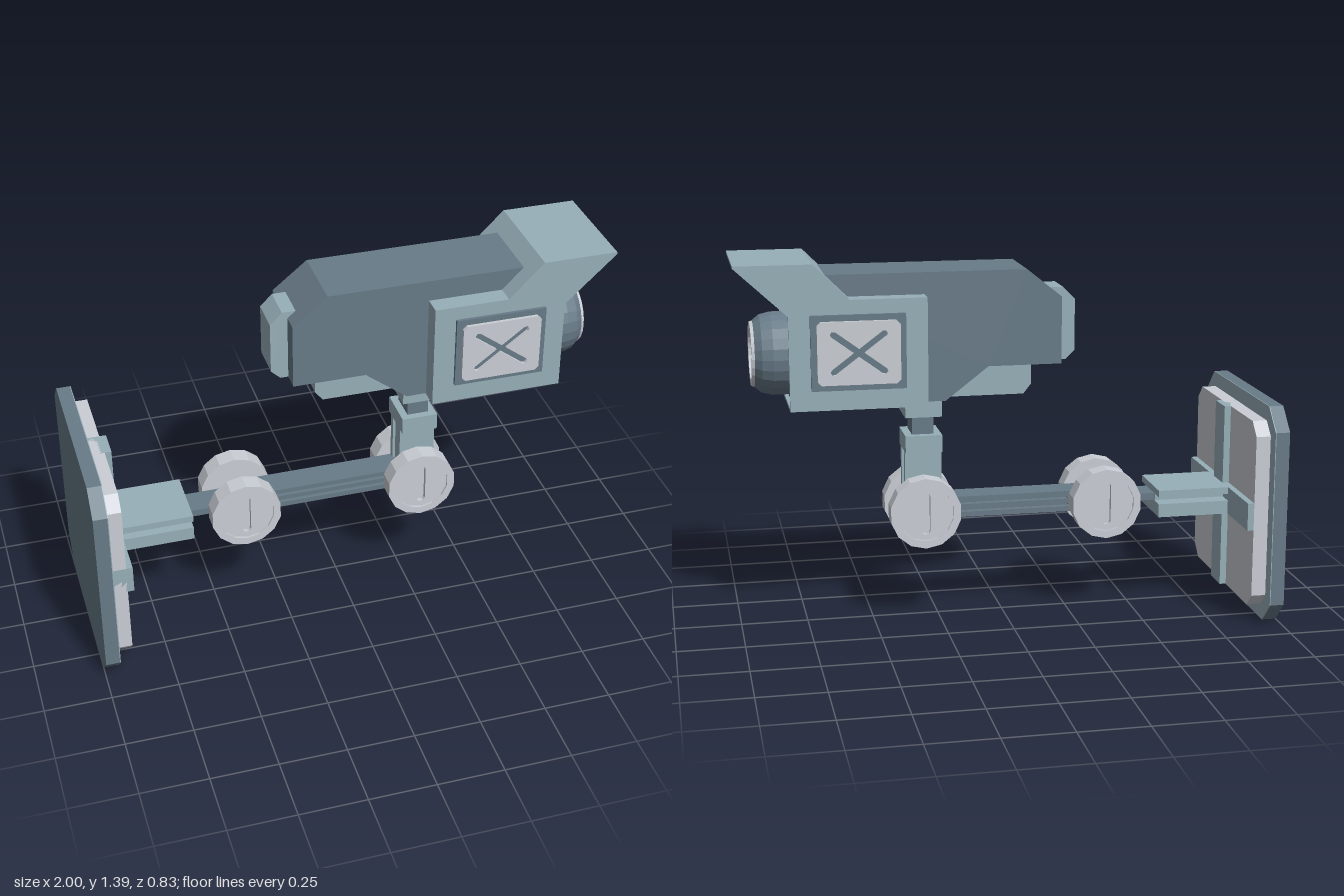
import * as THREE from 'three';

const mat = (color) => new THREE.MeshStandardMaterial({ color, flatShading: true });

export function createModel() {
  const root = new THREE.Group();
  const teal = mat(0x97afb8), slate = mat(0x687b88), grey = mat(0xcaced5);

  const add = (name, geo, m, parent = root) => {
    const mesh = new THREE.Mesh(geo, m);
    mesh.name = name;
    parent.add(mesh);
    return mesh;
  };
  // Box from its min and max limits, symmetric in z
  const box = (name, m, x0, x1, y0, y1, hz, z = 0) => {
    const b = add(name, new THREE.BoxGeometry(x1 - x0, y1 - y0, hz * 2), m);
    b.position.set((x0 + x1) / 2, (y0 + y1) / 2, z);
    return b;
  };
  const poly = (pts) => new THREE.Shape(pts.map(([x, y]) => new THREE.Vector2(x, y)));
  const extrude = (shape, z0, z1) =>
    new THREE.ExtrudeGeometry(shape, { depth: z1 - z0, bevelEnabled: false, curveSegments: 4 }).translate(0, 0, z0);
  const ring = (r, n) => Array.from({ length: n }, (_, i) => {
    const a = ((i + 0.5) / n) * Math.PI * 2;
    return [Math.cos(a) * r, Math.sin(a) * r];
  });
  const chamfered = (w, h, c) => poly([
    [-w + c, -h], [w - c, -h], [w, -h + c], [w, h - c],
    [w - c, h], [-w + c, h], [-w, h - c], [-w, -h + c]]);

  // Wall mount: chamfered plates stacked along x
  const plate = (name, m, x0, x1, w, h, c) => {
    const p = add(name, extrude(chamfered(w, h, c), x0, x1).rotateY(Math.PI / 2), m);
    p.position.y = 0.416;
    return p;
  };
  plate('wallPlate', slate, -1, -0.948, 0.413, 0.416, 0.083);
  plate('wallPlateFace', teal, -0.948, -0.945, 0.413, 0.416, 0.083);
  plate('wallPanel', grey, -0.945, -0.89, 0.36, 0.358, 0.05);
  box('verticalRib', teal, -0.945, -0.865, 0.058, 0.774, 0.055);
  box('horizontalRib', teal, -0.945, -0.866, 0.365, 0.47, 0.36);

  // Slotted bracket holding the arm
  box('bracketLower', teal, -0.87, -0.59, 0.365, 0.417, 0.122);
  box('bracketUpper', teal, -0.87, -0.59, 0.444, 0.47, 0.122);
  box('bracketSpine', teal, -0.87, -0.592, 0.41, 0.45, 0.06);

  // Grooved arm
  box('armTongue', slate, -0.6, -0.25, 0.417, 0.444, 0.055);
  box('armCore', slate, -0.385, 0.31, 0.395, 0.465, 0.03);
  for (const [y0, y1] of [[0.39, 0.41], [0.422, 0.44], [0.452, 0.47]])
    box('armRail', slate, -0.385, 0.31, y0, y1, 0.054);

  // Pivot knobs: rim, recessed cap with a slot, floor behind the slot
  const rim = poly(ring(0.135, 14));
  rim.holes.push(poly(ring(0.106, 14)));
  const cap = poly(ring(0.106, 14));
  const slot = new THREE.Path();
  slot.absarc(0, 0.065, 0.017, 0, Math.PI);
  slot.absarc(0, -0.065, 0.017, Math.PI, Math.PI * 2);
  slot.closePath();
  cap.holes.push(slot);
  for (const x of [-0.385, 0.31]) {
    for (const side of [0, 1]) {
      const knob = new THREE.Group();
      knob.name = 'pivotKnob';
      knob.position.set(x, 0.43, 0);
      knob.rotation.y = side * Math.PI;
      add('knobRim', extrude(rim, 0.055, 0.125), grey, knob);
      add('knobCap', extrude(cap, 0.1, 0.117), grey, knob);
      add('knobBack', extrude(poly(ring(0.107, 14)), 0.055, 0.1), grey, knob);
      root.add(knob);
    }
  }

  // Upright post and neck under the camera
  box('uprightCore', teal, 0.25, 0.365, 0.4, 0.66, 0.03);
  for (const z of [-0.0425, 0.0425]) box('uprightRail', teal, 0.24, 0.378, 0.47, 0.66, 0.0125, z);
  box('lowerCollar', teal, 0.24, 0.378, 0.655, 0.72, 0.083);
  box('neck', slate, 0.268, 0.35, 0.71, 0.8, 0.055);
  box('upperCollar', teal, 0.24, 0.378, 0.79, 0.862, 0.083);

  // Camera body, tail and belly
  add('cameraBody', extrude(poly([
    [-0.2, 0.985], [0.075, 0.985], [0.235, 0.862], [0.6, 0.862], [0.6, 1.25],
    [0.67, 1.34], [-0.07, 1.34], [-0.2, 1.235]]), -0.137, 0.137), slate);
  add('tailBlock', extrude(poly([
    [-0.265, 1.02], [-0.23, 0.987], [-0.1, 0.987], [-0.1, 1.26],
    [-0.22, 1.26], [-0.265, 1.215]]), -0.07, 0.07), teal);
  add('bellyBlock', extrude(poly([
    [-0.1, 0.9], [-0.07, 0.862], [0.32, 0.862], [0.32, 0.99], [-0.1, 0.99]]), -0.07, 0.07), teal);

  // Front shroud: two cheeks, a thin skin along the roof, floor and back, and the inner core
  const cheek = poly([
    [0.31, 0.86], [0.81, 0.86], [0.81, 1.205], [1, 1.382], [1, 1.39],
    [0.72, 1.39], [0.59, 1.26], [0.31, 1.26]]);
  for (const z of [-0.21, 0.198]) add('shroudCheek', extrude(cheek, z, z + 0.012), teal);
  add('shroudSkin', extrude(poly([
    [0.31, 0.86], [0.81, 0.86], [0.81, 0.87], [0.322, 0.87], [0.322, 1.25], [0.595, 1.25],
    [0.725, 1.38], [1, 1.38], [1, 1.39], [0.72, 1.39], [0.59, 1.26], [0.31, 1.26]]), -0.2, 0.2), teal);
  add('shroudCore', extrude(poly([
    [0.32, 0.868], [0.795, 0.868], [0.795, 1.205], [0.89, 1.33], [0.985, 1.381],
    [0.725, 1.381], [0.595, 1.252], [0.32, 1.252]]), -0.199, 0.199), slate);

  // Side panels: frame and rounded plate with a cross cut through it
  const cross = [];
  const tilt = 0.64, w = 0.012;
  const angles = [tilt, Math.PI - tilt, Math.PI + tilt, Math.PI * 2 - tilt];
  angles.forEach((a, i) => {
    const next = i < 3 ? angles[i + 1] : angles[0] + Math.PI * 2;
    const c = Math.cos(a), s = Math.sin(a);
    for (const [l, k] of [[0.115, -w], [0.125, -w / 2], [0.125, w / 2], [0.115, w]])
      cross.push([c * l - s * k, s * l + c * k]);
    const mid = (a + next) / 2, d = w / Math.sin((next - a) / 2);
    cross.push([Math.cos(mid) * d, Math.sin(mid) * d]);
  });
  const face = chamfered(0.15, 0.115, 0.014);
  face.holes.push(poly(cross));
  for (const side of [0, 1]) {
    const panel = new THREE.Group();
    panel.name = 'sidePanel';
    panel.position.set(0.562, 1.071, 0);
    panel.rotation.y = side * Math.PI;
    add('panelFrame', extrude(chamfered(0.172, 0.137, 0.001), 0.2, 0.222), slate, panel);
    add('panelFace', extrude(face, 0.222, 0.235), grey, panel);
    root.add(panel);
  }

  // Lens: tapered barrel, pale rim and recessed glass, turned to face +x
  const lens = new THREE.Group();
  lens.name = 'lens';
  lens.position.set(0, 1.038, 0);
  lens.rotation.z = -Math.PI / 2;
  root.add(lens);
  const lathe = (pts) => new THREE.LatheGeometry(pts.map(([r, y]) => new THREE.Vector2(r, y)), 24);
  add('lensBarrel', lathe([[0.153, 0.78], [0.153, 0.86], [0.143, 0.9], [0.122, 0.925]]), slate, lens);
  add('lensRim', lathe([[0.122, 0.925], [0.118, 0.936], [0.094, 0.936], [0.09, 0.915]]), grey, lens);
  add('lensGlass', new THREE.CylinderGeometry(0.092, 0.092, 0.02, 24), slate, lens).position.y = 0.907;

  return root;
}
